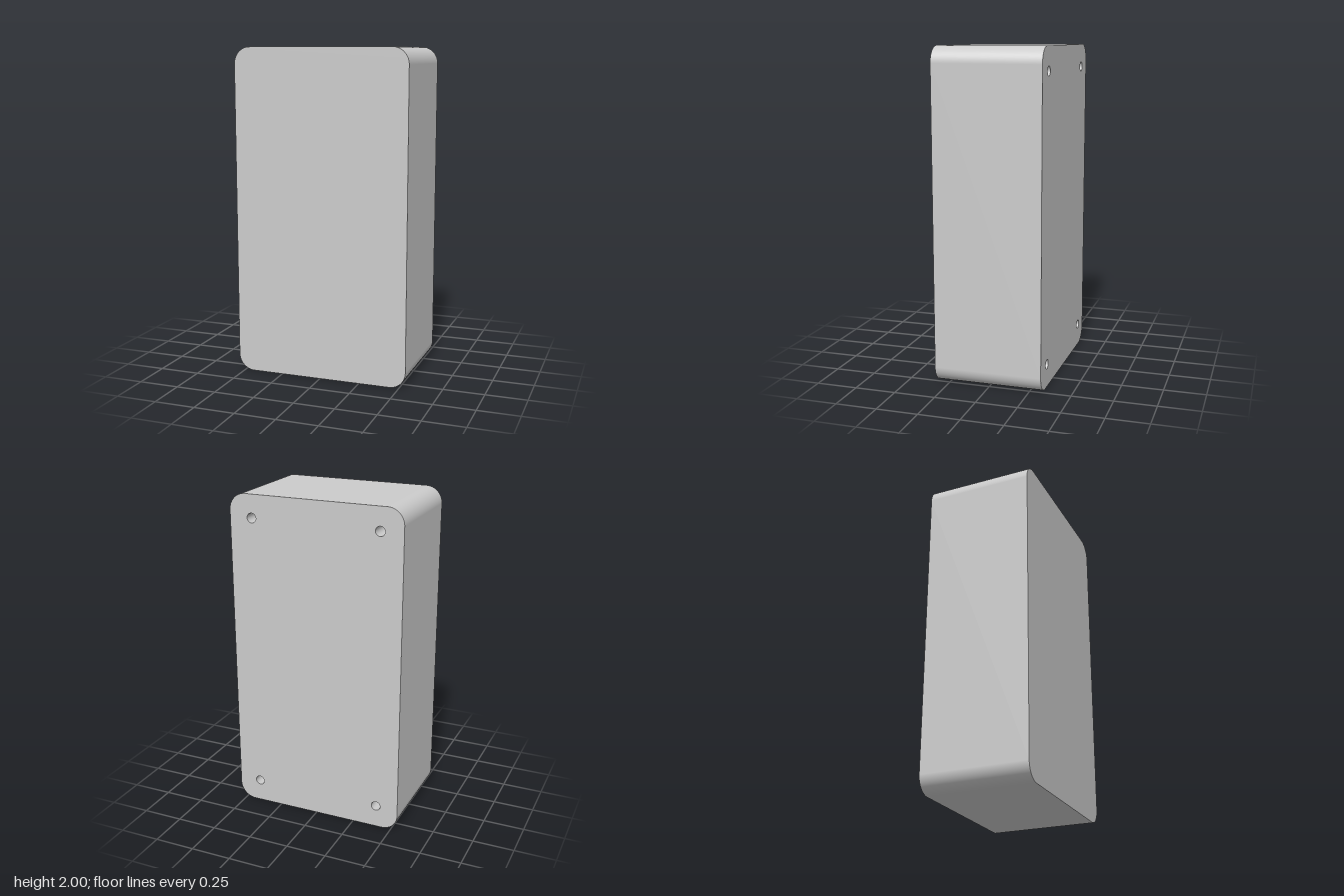
import * as THREE from 'three';

const W = 1.08, H = 2, D = 0.656, R = 0.1;          // case size and corner radius
const HOLE_R = 0.029, HOLE_DEPTH = 0.2, INSET = 0.14; // screw holes in the back
const SEGS = 16;

// Rounded rectangle, counter-clockwise from the middle of the bottom edge
function outline() {
  const x = W / 2, q = Math.PI / 2;
  const s = new THREE.Shape();
  s.moveTo(0, 0);
  s.lineTo(x - R, 0);
  s.absarc(x - R, R, R, -q, 0);
  s.absarc(x - R, H - R, R, 0, q);
  s.absarc(R - x, H - R, R, q, 2 * q);
  s.absarc(R - x, R, R, 2 * q, 3 * q);
  s.lineTo(0, 0);
  return s;
}

// Smooth closed side band joining the front and back outlines
function sideBand() {
  const pts = outline().getPoints(SEGS);
  const pos = [], idx = [];
  pts.forEach((p, i) => {
    pos.push(p.x, p.y, -D / 2, p.x, p.y, D / 2);
    const a = 2 * i, b = 2 * ((i + 1) % pts.length);
    idx.push(a, b, b + 1, a, b + 1, a + 1);
  });
  const g = new THREE.BufferGeometry();
  g.setAttribute('position', new THREE.Float32BufferAttribute(pos, 3));
  g.setIndex(idx);
  g.computeVertexNormals();
  return g;
}

export function createModel() {
  const group = new THREE.Group();
  group.name = 'case';
  const grey = new THREE.MeshStandardMaterial({ color: 0xcccccc });
  const inner = new THREE.MeshStandardMaterial({ color: 0xcccccc, side: THREE.BackSide });
  const add = (name, geometry, material = grey) => {
    const mesh = new THREE.Mesh(geometry, material);
    mesh.name = name;
    group.add(mesh);
    return mesh;
  };

  add('sides', sideBand());
  add('frontPanel', new THREE.ShapeGeometry(outline(), SEGS).translate(0, 0, D / 2));

  // Back panel pierced by a blind screw hole near each corner
  const back = outline();
  for (const x of [INSET - W / 2, W / 2 - INSET]) {
    for (const y of [INSET, H - INSET]) {
      back.holes.push(new THREE.Path().absarc(x, y, HOLE_R, 0, Math.PI * 2, true));

      const wall = new THREE.CylinderGeometry(HOLE_R, HOLE_R, HOLE_DEPTH, 2 * SEGS, 1, true);
      add('screwHoleWall', wall.rotateX(Math.PI / 2), inner)
        .position.set(x, y, (HOLE_DEPTH - D) / 2);

      const floor = new THREE.CircleGeometry(HOLE_R, 2 * SEGS).rotateY(Math.PI);
      add('screwHoleFloor', floor).position.set(x, y, HOLE_DEPTH - D / 2);
    }
  }
  add('backPanel', new THREE.ShapeGeometry(back, SEGS).rotateY(Math.PI).translate(0, 0, -D / 2));

  return group;
}
